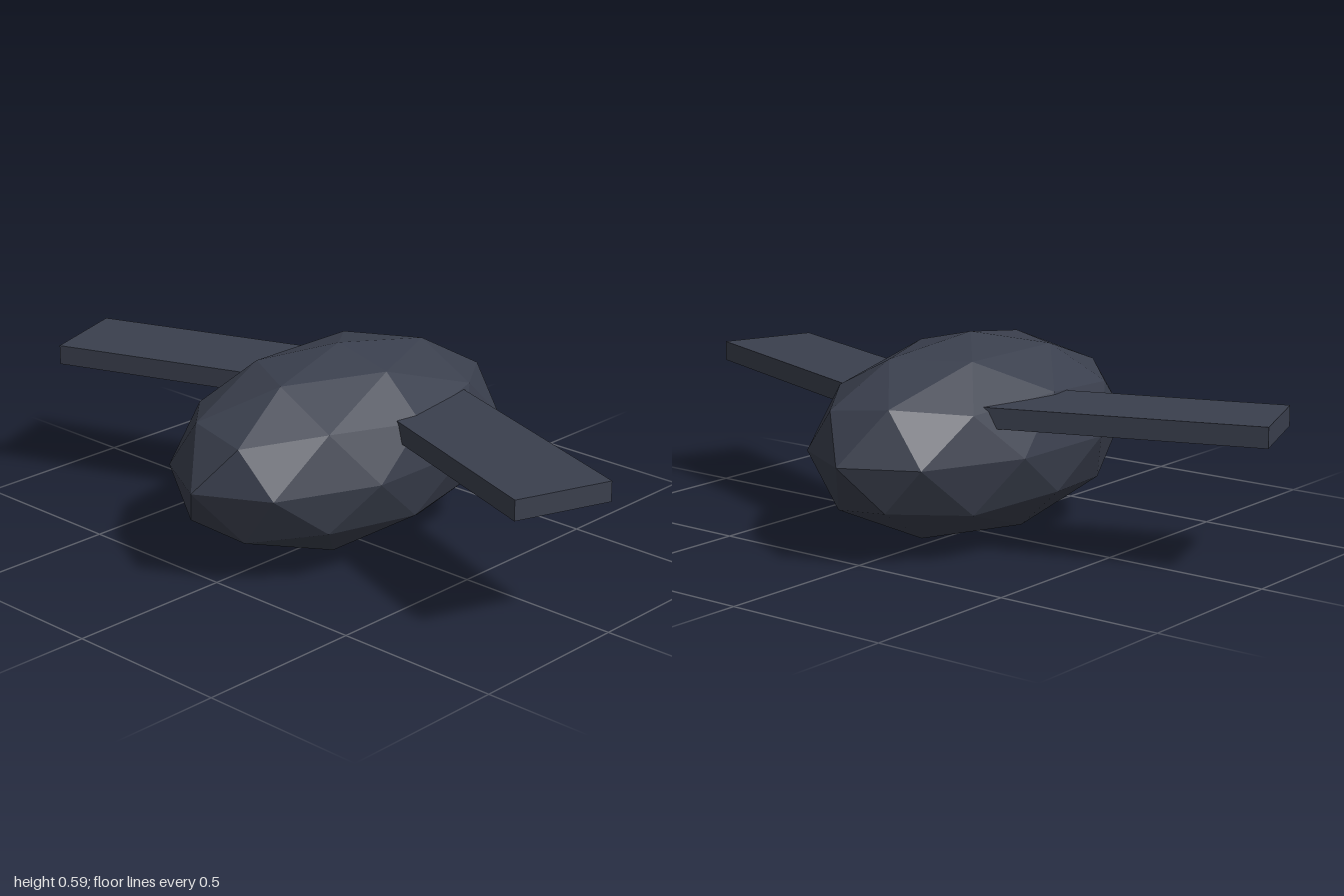
import * as THREE from 'three';

const U = 0.5916; // half the body length

export function createModel() {
  const model = new THREE.Group();
  model.name = 'wingedPod';
  const slate = new THREE.MeshStandardMaterial({ color: 0x3a3f4d, flatShading: true });
  slate.name = 'darkSlate';

  // Faceted egg-shaped body: icosphere with its pole turned up, then stretched
  const bodyGeometry = new THREE.IcosahedronGeometry(1, 1);
  bodyGeometry.rotateZ(-Math.atan(2 / (1 + Math.sqrt(5))));
  bodyGeometry.scale(0.6 * U, 0.5 * U, U);
  bodyGeometry.computeVertexNormals();
  const body = new THREE.Mesh(bodyGeometry, slate);
  body.name = 'body';
  body.position.y = 0.5 * U;
  model.add(body);

  // Flat slab wings, swept 20 degrees towards the front
  const wingGeometry = new THREE.BoxGeometry(1.5 * U, 0.1 * U, 0.5 * U);
  for (const side of [1, -1]) {
    const wing = new THREE.Mesh(wingGeometry, slate);
    wing.name = side > 0 ? 'leftWing' : 'rightWing';
    wing.position.set(side * 0.9 * U, 0.7 * U, 0);
    wing.rotation.y = -side * THREE.MathUtils.degToRad(20);
    model.add(wing);
  }

  return model;
}
